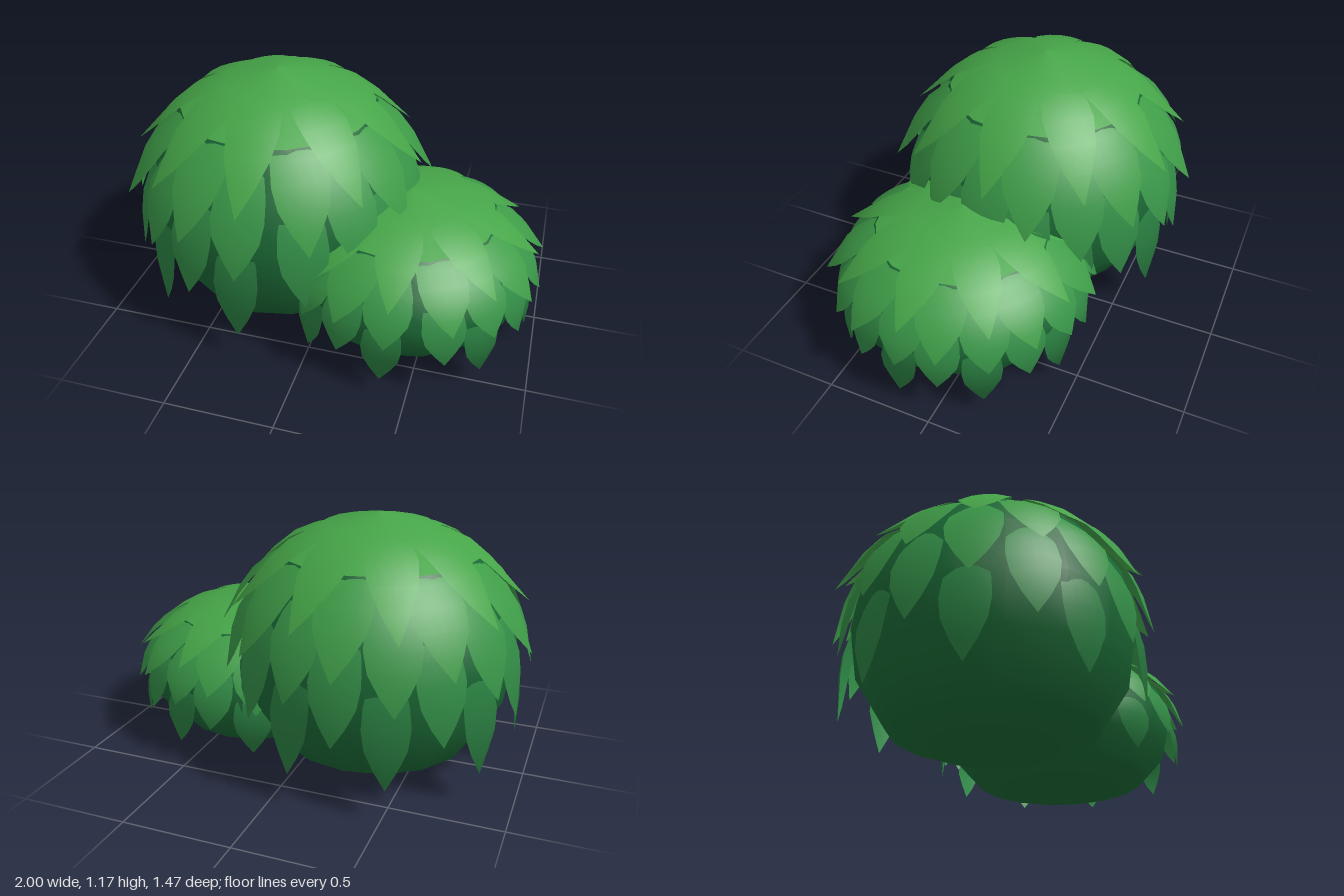
import * as THREE from 'three';

const ROWS = 6, COLS = 4;

// Leaf tiers from crown to skirt: base, bend and tip as [radius, height], turn in degrees
const TIERS = [
  { path: [[0.15, 1.14], [0.41, 1.055], [0.68, 0.79]], width: 0.23, turn: 4, color: 0x46a548 },
  { path: [[0.28, 1.09], [0.58, 0.90], [0.73, 0.64]], width: 0.25, turn: 25, color: 0x3f9d48 },
  { path: [[0.43, 1.00], [0.645, 0.76], [0.71, 0.50]], width: 0.24, turn: 5, color: 0x399648 },
  { path: [[0.53, 0.88], [0.665, 0.61], [0.69, 0.34]], width: 0.225, turn: 26, color: 0x338e47 },
  { path: [[0.58, 0.70], [0.665, 0.43], [0.66, 0.15]], width: 0.205, turn: 7, color: 0x2c8444 },
];

// Uneven spacing of the nine leaves in a tier, in degrees
const DRIFT = [-3, -3, 3, 2, 4, 3, 2, 0, -1];

// Half outline of a leaf, base to tip
const OUTLINE = [0.45, 0.7, 0.92, 1, 0.88, 0.5, 0];

// Core profile: flattened underside, domed top
const CORE = [[0, 0], [0.245, 0.03], [0.455, 0.11], [0.60, 0.34], [0.64, 0.585],
  [0.59, 0.81], [0.4525, 1.0], [0.245, 1.125], [0, 1.175]];

function material(color) {
  return new THREE.MeshStandardMaterial({ color, side: THREE.DoubleSide });
}

// One pointed leaf facing +x, bent down its length and cupped around the bush
function leafGeometry({ path, width }) {
  const curve = new THREE.CatmullRomCurve3(path.map(([r, y]) => new THREE.Vector3(r, y, 0)));
  const pos = [], nor = [], idx = [], n = new THREE.Vector3();
  for (let i = 0; i <= ROWS; i++) {
    const p = curve.getPoint(i / ROWS);
    for (let j = 0; j <= COLS; j++) {
      const k = (j / COLS) * 2 - 1;
      const x = p.x - 0.02 * k * k * OUTLINE[i];
      const y = p.y - 0.008 * k * k * OUTLINE[i];
      const z = k * OUTLINE[i] * width * 0.5;
      pos.push(x, y, z);
      // Rounded normals let the leaves blend into the dome
      n.set(x, y - 0.5, z).normalize();
      nor.push(n.x, n.y, n.z);
      if (i < ROWS && j < COLS) {
        const a = i * (COLS + 1) + j, b = a + COLS + 1;
        idx.push(a, a + 1, b, a + 1, b + 1, b);
      }
    }
  }
  const geo = new THREE.BufferGeometry();
  geo.setAttribute('position', new THREE.Float32BufferAttribute(pos, 3));
  geo.setAttribute('normal', new THREE.Float32BufferAttribute(nor, 3));
  geo.setIndex(idx);
  return geo;
}

function lathe(points, name, color) {
  const geo = new THREE.LatheGeometry(points.map(([r, y]) => new THREE.Vector2(r, y)), 16);
  const mesh = new THREE.Mesh(geo, material(color));
  mesh.name = name;
  return mesh;
}

function bush(name) {
  const group = new THREE.Group();
  group.name = name;

  // Solid core with a lighter crown
  group.add(lathe(CORE.slice(0, 7), 'coreBody', 0x1b6835));
  group.add(lathe(CORE.slice(6), 'coreCrown', 0x46a548));

  // Overlapping tiers, every other one turned by about half a step
  TIERS.forEach((tier, row) => {
    const ring = new THREE.Group();
    ring.name = `leafTier${row + 1}`;
    const geo = leafGeometry(tier), mat = material(tier.color);
    DRIFT.forEach((drift, i) => {
      const leaf = new THREE.Mesh(geo, mat);
      leaf.name = 'leaf';
      leaf.rotation.y = -THREE.MathUtils.degToRad(i * 40 + tier.turn + drift);
      ring.add(leaf);
    });
    group.add(ring);
  });
  return group;
}

export function createModel() {
  const model = new THREE.Group();
  model.name = 'bushes';

  const large = bush('largeBush');
  large.position.set(-0.28, 0, 0);

  const small = bush('smallBush');
  small.scale.set(0.87, 0.6, 0.87);
  small.position.set(0.38, 0, 0.12);

  model.add(large, small);
  return model;
}
